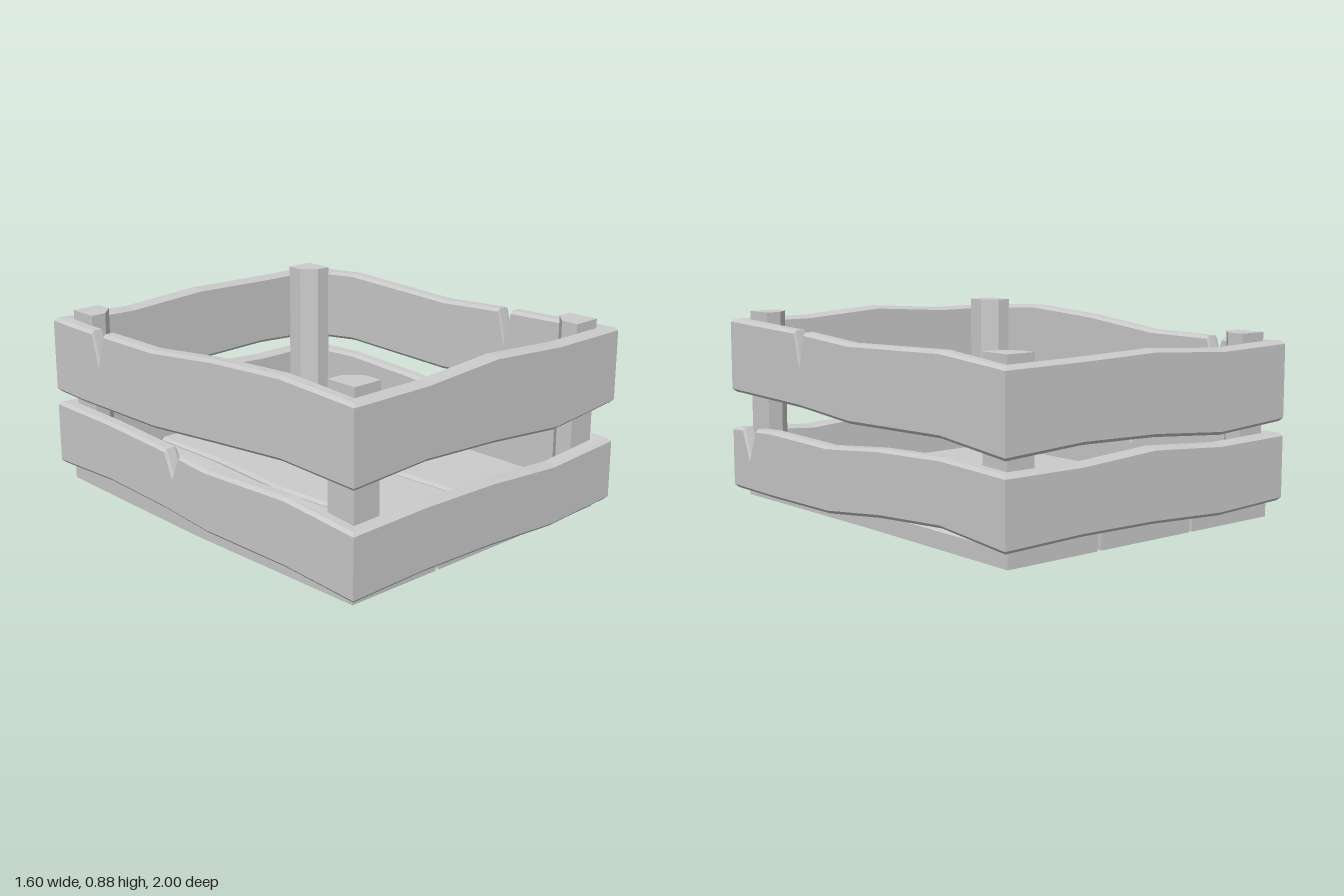
import * as THREE from 'three';

const W = 0.8, D = 1, THICK = 0.07, BEVEL = 0.014;

// Joins a row of matching cross-sections into a flat-shaded skin, looped or capped.
function loft(name, rings, looped, material) {
  const pos = [];
  const tri = (...pts) => pts.forEach((p) => pos.push(...p));
  const n = rings[0].length;
  const spans = looped ? rings.length : rings.length - 1;
  for (let i = 0; i < spans; i++) {
    const r = rings[i], s = rings[(i + 1) % rings.length];
    for (let j = 0; j < n; j++) {
      const k = (j + 1) % n;
      tri(r[j], s[j], s[k]);
      tri(r[j], s[k], r[k]);
    }
  }
  if (!looped) {
    const a = rings[0], b = rings[rings.length - 1];
    for (let j = 1; j < n - 1; j++) {
      tri(a[0], a[j], a[j + 1]);
      tri(b[0], b[j + 1], b[j]);
    }
  }
  const geo = new THREE.BufferGeometry();
  geo.setAttribute('position', new THREE.Float32BufferAttribute(pos, 3));
  geo.computeVertexNormals();
  const mesh = new THREE.Mesh(geo, material);
  mesh.name = name;
  return mesh;
}

// Adds a V-shaped split to a side given as [position, bottom, top] stations.
function split(side, at, halfWidth, tipY) {
  const dir = Math.sign(side[1][0] - side[0][0]);
  const sample = (u) => {
    let i = 0;
    while (i < side.length - 2 && (side[i + 1][0] - u) * dir < 0) i++;
    const [a, b] = [side[i], side[i + 1]];
    const f = (u - a[0]) / (b[0] - a[0]);
    return [u, a[1] + (b[1] - a[1]) * f, a[2] + (b[2] - a[2]) * f];
  };
  const tip = sample(at);
  tip[2] = tipY;
  const extra = [sample(at - halfWidth), tip, sample(at + halfWidth)];
  return [...side.filter((s) => Math.abs(s[0] - at) > halfWidth), ...extra]
    .sort((a, b) => (a[0] - b[0]) * dir);
}

// Four wavy boards meeting in mitred corners: front, left, back, right.
function boardRing(name, sides, material) {
  const frames = [
    (u) => [u, D, 0, -1], (u) => [W, u, -1, 0],
    (u) => [u, -D, 0, 1], (u) => [-W, u, 1, 0],
  ];
  const rings = [];
  const t = THICK, c = BEVEL;
  sides.forEach((side, i) => {
    side.slice(0, -1).forEach(([u, bottom, top], j) => {
      let [x, z, ix, iz] = frames[i](u);
      if (j === 0) [ix, iz] = [-Math.sign(x), -Math.sign(z)];
      rings.push([
        [c, bottom], [0, bottom + c], [0, top - c], [c, top],
        [t - c, top], [t, top - c], [t, bottom + c], [t - c, bottom],
      ].map(([d, y]) => [x + ix * d, y, z + iz * d]));
    });
  });
  return loft(name, rings, true, material);
}

export function createModel() {
  const group = new THREE.Group();
  const material = new THREE.MeshStandardMaterial({ color: 0xcccccc, flatShading: true });

  // Upper boards
  group.add(boardRing('upperBoards', [
    [[-0.8, 0.495, 0.84], [-0.4, 0.515, 0.84], [0, 0.495, 0.867], [0.4, 0.46, 0.84], [0.8, 0.495, 0.84]],
    split([[1, 0.495, 0.84], [0.42, 0.48, 0.82], [0.03, 0.452, 0.795],
      [-0.6, 0.468, 0.815], [-1, 0.43, 0.785]], 0.41, 0.038, 0.66),
    [[0.8, 0.43, 0.785], [0.4, 0.45, 0.79], [0, 0.44, 0.8], [-0.4, 0.408, 0.775], [-0.8, 0.43, 0.785]],
    split([[-1, 0.43, 0.785], [-0.8, 0.425, 0.78], [-0.25, 0.432, 0.785], [0.17, 0.47, 0.832],
      [0.58, 0.505, 0.857], [1, 0.495, 0.84]], -0.65, 0.045, 0.63),
  ], material));

  // Lower boards
  group.add(boardRing('lowerBoards', [
    [[-0.8, 0.035, 0.327], [-0.4, 0.045, 0.337], [0, 0.037, 0.33], [0.4, 0.015, 0.303], [0.8, 0.035, 0.327]],
    split([[1, 0.035, 0.327], [0.65, 0.032, 0.343], [0.2, 0.036, 0.335], [-0.18, 0.08, 0.373],
      [-0.6, 0.108, 0.393], [-1, 0.075, 0.378]], 0.855, 0.058, 0.19),
    [[0.8, 0.075, 0.378], [0.4, 0.085, 0.377], [0, 0.08, 0.4], [-0.4, 0.06, 0.372], [-0.8, 0.075, 0.378]],
    split([[-1, 0.075, 0.378], [-0.6, 0.09, 0.375], [-0.2, 0.075, 0.357], [0.1, 0.05, 0.335],
      [0.6, 0.055, 0.357], [1, 0.035, 0.327]], -0.13, 0.05, 0.24),
  ], material));

  // Floor planks between wavy seams
  const zs = [0.95, 0.47, 0, -0.5, -0.95];
  const seams = [
    [-0.765, -0.775, -0.785, -0.775, -0.765],
    [-0.275, -0.25, -0.295, -0.262, -0.27],
    [0.258, 0.255, 0.222, 0.242, 0.262],
    [0.755, 0.75, 0.745, 0.75, 0.755],
  ];
  const H = 0.088;
  for (let p = 0; p < 3; p++) {
    const rings = zs.map((z, i) => {
      const l = seams[p][i] + 0.01, r = seams[p + 1][i] - 0.01;
      return [[r, 0], [r, H - BEVEL], [r - BEVEL, H], [l + BEVEL, H], [l, H - BEVEL], [l, 0]]
        .map(([x, y]) => [x, y, z]);
    });
    group.add(loft('floorPlank' + (p + 1), rings, false, material));
  }

  // Corner posts with the inner corner cut off
  const x0 = 0.595, x1 = 0.733, z0 = 0.785, z1 = 0.932, cut = 0.065;
  for (const sx of [-1, 1]) {
    for (const sz of [-1, 1]) {
      const outline = [[x1, z1], [x0, z1], [x0, z0 + cut], [x0 + cut, z0], [x1, z0]]
        .map(([x, z]) => new THREE.Vector2(x * sx, -z * sz));
      const base = 0.05, top = sz > 0 ? 0.877 : 0.822;
      const geo = new THREE.ExtrudeGeometry(new THREE.Shape(outline), { depth: top - base, bevelEnabled: false });
      geo.rotateX(-Math.PI / 2).translate(0, base, 0);
      const post = new THREE.Mesh(geo, material);
      post.name = (sz > 0 ? 'front' : 'back') + (sx > 0 ? 'Left' : 'Right') + 'Post';
      group.add(post);
    }
  }
  return group;
}
